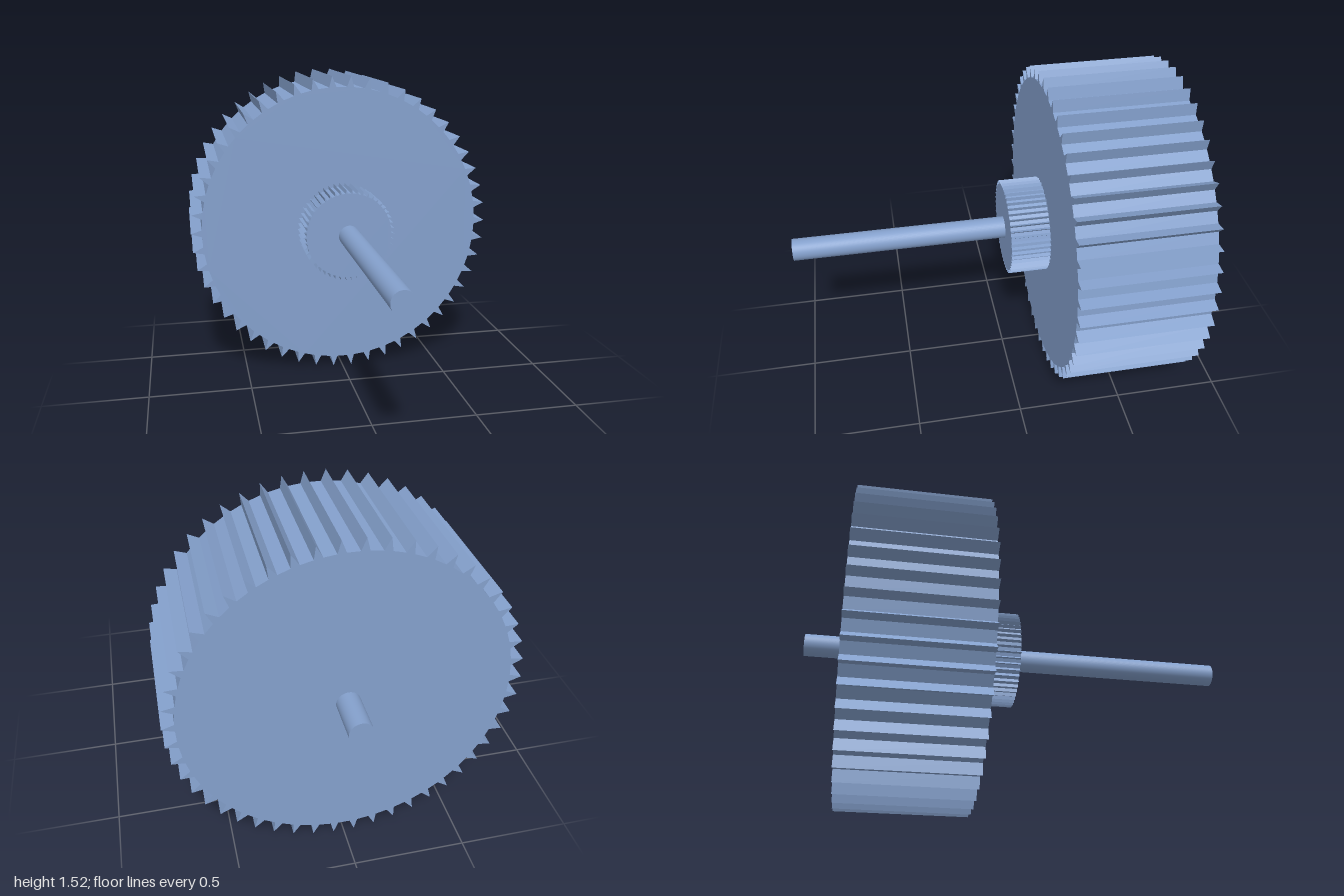
import * as THREE from 'three';

const AXIS_Y = 0.76;
const TEETH = 50;
const material = new THREE.MeshStandardMaterial({ color: 0x84a0cc, flatShading: true });
const shaftMaterial = new THREE.MeshStandardMaterial({ color: 0x84a0cc });

// Spur gear with pointed teeth and flat roots, running from zBack to zFront
function makeGear(name, tipRadius, zBack, zFront) {
  const rootRadius = tipRadius * 0.929;
  const pitch = (Math.PI * 2) / TEETH;
  const halfBase = pitch * 0.2;
  const points = [];
  for (let i = 0; i < TEETH; i++) {
    const a = i * pitch;
    for (const [r, t] of [[rootRadius, a - halfBase], [tipRadius, a], [rootRadius, a + halfBase]]) {
      points.push(new THREE.Vector2(r * Math.cos(t), r * Math.sin(t)));
    }
  }
  const geometry = new THREE.ExtrudeGeometry(new THREE.Shape(points), {
    depth: zFront - zBack,
    bevelEnabled: false,
  });
  const gear = new THREE.Mesh(geometry, material);
  gear.name = name;
  gear.position.set(0, AXIS_Y, zBack);
  return gear;
}

export function createModel() {
  const model = new THREE.Group();
  model.name = 'gearShaft';

  // Wide gear and the small pinion in front of it
  model.add(makeGear('largeGear', 0.76, -0.807, -0.193));
  model.add(makeGear('smallGear', 0.228, -0.193, -0.007));

  // Shaft through both gears
  const shaft = new THREE.Mesh(new THREE.CylinderGeometry(0.052, 0.052, 2, 48), shaftMaterial);
  shaft.name = 'shaft';
  shaft.rotation.x = Math.PI / 2;
  shaft.position.y = AXIS_Y;
  model.add(shaft);

  return model;
}
